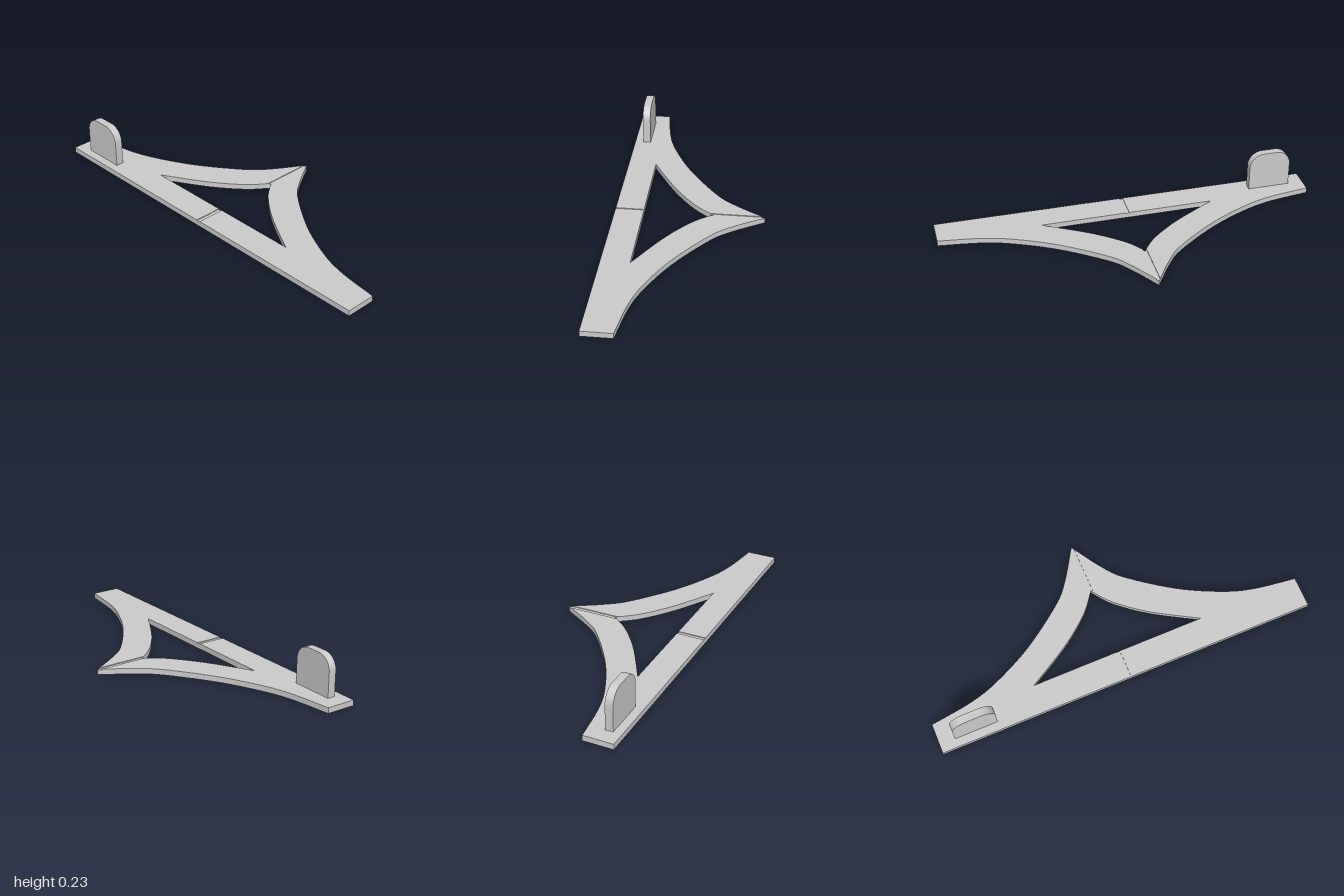
import * as THREE from 'three';
import { toCreasedNormals } from 'three/addons/utils/BufferGeometryUtils.js';

const material = new THREE.MeshStandardMaterial({ color: 0xcccccc });
const T = 0.029;        // plate thickness
const GROOVE_Y = 0.025; // floor of the centre groove
const G = 0.01;         // half width of the groove
const FRONT = 0.384, BAR = 0.237;

function addMesh(group, name, geometry) {
  const mesh = new THREE.Mesh(toCreasedNormals(geometry, 0.5), material);
  mesh.name = name;
  group.add(mesh);
  return mesh;
}

// Extrude an outline of [x, z] points upward from y = 0
function slab(points, height) {
  const shape = new THREE.Shape(points.map(([x, z]) => new THREE.Vector2(x, -z)));
  return new THREE.ExtrudeGeometry(shape, { depth: height, bevelEnabled: false }).rotateX(-Math.PI / 2);
}

function smooth(points, n) {
  const curve = new THREE.SplineCurve(points.map(([x, z]) => new THREE.Vector2(x, z)));
  return curve.getPoints(n).map((p) => [p.x, p.y]);
}

export function createModel() {
  const group = new THREE.Group();
  group.name = 'archedPlate';

  // Curved half plates, mirrored about the groove
  const outer = smooth([[1, 0.228], [0.78, 0.196], [0.62, 0.145], [0.41, 0.038],
    [0.19, -0.122], [0.1, -0.225], [G, -0.368]], 40);
  const inner = smooth([[G, -0.105], [0.085, -0.014], [0.235, 0.104], [0.46, BAR]], 24);
  const half = [[G, FRONT], [1, FRONT], ...outer, ...inner, [G, BAR]];
  addMesh(group, 'leftPlate', slab(half, T));
  addMesh(group, 'rightPlate', slab(half.map(([x, z]) => [-x, z]), T));

  // Thinner strips forming the groove floor in the bar and at the apex
  addMesh(group, 'barGroove', slab([[-G, FRONT], [G, FRONT], [G, BAR], [-G, BAR]], GROOVE_Y));
  addMesh(group, 'apexGroove', slab([[-G, -0.105], [0, -0.12], [G, -0.105],
    [G, -0.368], [0, -0.384], [-G, -0.368]], GROOVE_Y));

  // Upright tab with rounded top corners
  const w = 0.1125, h = 0.235, r = 0.077;
  const tab = new THREE.Shape();
  tab.moveTo(-w, T - 0.004);
  tab.lineTo(w, T - 0.004);
  tab.lineTo(w, h - r);
  tab.absarc(w - r, h - r, r, 0, Math.PI / 2);
  tab.lineTo(r - w, h);
  tab.absarc(r - w, h - r, r, Math.PI / 2, Math.PI);
  tab.closePath();
  const tabMesh = addMesh(group, 'uprightTab',
    new THREE.ExtrudeGeometry(tab, { depth: 0.041, bevelEnabled: false, curveSegments: 16 }));
  tabMesh.position.set(-0.806, 0, 0.299);

  return group;
}
